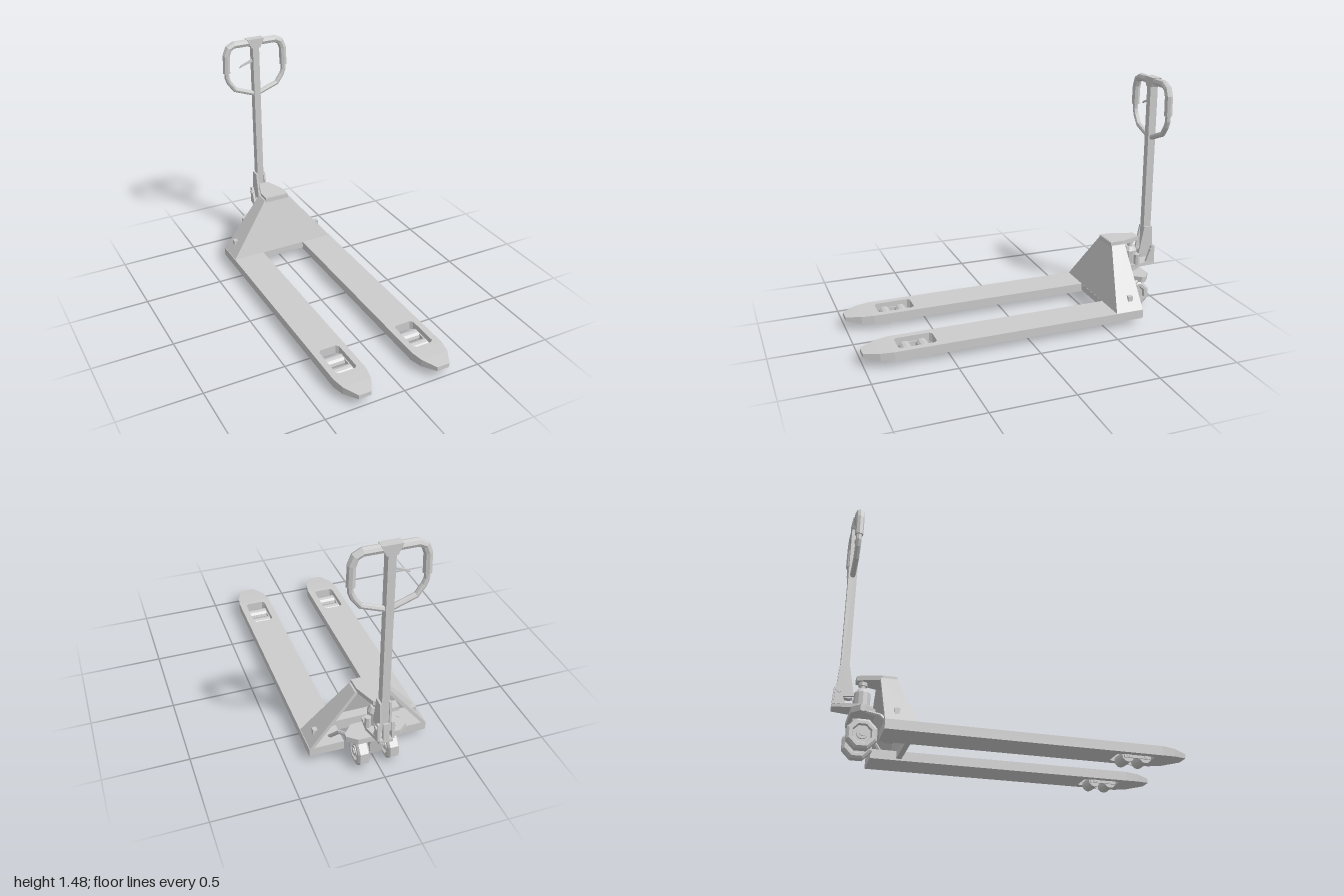
import * as THREE from 'three';
import { ConvexGeometry } from 'three/addons/geometries/ConvexGeometry.js';

const material = new THREE.MeshStandardMaterial({ color: 0xcccccc, flatShading: true, side: THREE.DoubleSide });
const V = (x, y, z) => new THREE.Vector3(x, y, z);

// Polyline path whose samples fall exactly on its corners
class Polyline extends THREE.Curve {
  constructor(pts) { super(); this.pts = pts; }
  getPointAt(u) { return this.pts[Math.round(u * (this.pts.length - 1))].clone(); }
  getTangentAt(u) {
    const n = this.pts.length - 1, i = Math.round(u * n);
    return this.pts[Math.min(i + 1, n)].clone().sub(this.pts[Math.max(i - 1, 0)]).normalize();
  }
}

export function createModel() {
  const root = new THREE.Group();
  const add = (name, geometry, x = 0, y = 0, z = 0, parent = root) => {
    const m = new THREE.Mesh(geometry, material);
    m.name = name;
    m.position.set(x, y, z);
    parent.add(m);
    return m;
  };
  // Box given by its limits on each axis
  const box = (name, x0, x1, y0, y1, z0, z1) =>
    add(name, new THREE.BoxGeometry(x1 - x0, y1 - y0, z1 - z0), (x0 + x1) / 2, (y0 + y1) / 2, (z0 + z1) / 2);
  const hull = (name, pts) => add(name, new ConvexGeometry(pts.map(p => V(...p))));
  const post = (name, r0, r1, y0, y1, x, z, n = 10) =>
    add(name, new THREE.CylinderGeometry(r1, r0, y1 - y0, n), x, (y0 + y1) / 2, z);
  const axle = (name, r, length, x, y, z, n = 10) =>
    add(name, new THREE.CylinderGeometry(r, r, length, n).rotateZ(Math.PI / 2), x, y, z);
  const rod = (name, a, b, r, n = 8) => {
    const m = add(name, new THREE.CylinderGeometry(r, r, a.distanceTo(b), n));
    m.position.copy(a).add(b).multiplyScalar(0.5);
    m.quaternion.setFromUnitVectors(V(0, 1, 0), b.clone().sub(a).normalize());
    return m;
  };
  const tube = (name, pts, r) => add(name, new THREE.TubeGeometry(new Polyline(pts), pts.length - 1, r, 8));
  // Plan (x, z) extruded upward between two heights
  const slab = (name, pts, y0, y1, hole) => {
    const shape = new THREE.Shape(pts.map(p => new THREE.Vector2(...p)));
    if (hole) shape.holes.push(new THREE.Path(hole.map(p => new THREE.Vector2(...p))));
    const g = new THREE.ExtrudeGeometry(shape, { depth: y1 - y0, bevelEnabled: false });
    return add(name, g.rotateX(Math.PI / 2), 0, y1, 0);
  };

  for (const s of [-1, 1]) {
    // Fork with a roller window and a tapered tip
    slab('fork', [[s * 0.15, -0.745], [s * 0.36, -0.745], [s * 0.36, 0.83], [s * 0.15, 0.83]], 0.05, 0.105,
      [[0.19, 0.585], [0.205, 0.57], [0.305, 0.57], [0.32, 0.585], [0.32, 0.785], [0.305, 0.8], [0.205, 0.8], [0.19, 0.785]]
        .map(([x, z]) => [s * x, z]));
    const rings = [[0.83, 0.15, 0.36, 0.05, 0.105], [0.91, 0.166, 0.344, 0.056, 0.102], [1, 0.215, 0.295, 0.068, 0.094]];
    hull('forkTip', rings.flatMap(([z, a, b, y0, y1]) =>
      [[s * a, y0, z], [s * b, y0, z], [s * a, y1, z], [s * b, y1, z]]));

    // Tandem load rollers and their carrier
    for (const z of [0.635, 0.738]) {
      axle('loadRoller', 0.036, 0.115, s * 0.255, 0.047, z, 12);
      axle('loadRollerAxle', 0.012, 0.14, s * 0.255, 0.047, z, 8);
    }
    for (const x of [0.193, 0.317]) box('rollerCarrier', s * x - 0.004, s * x + 0.004, 0.033, 0.07, 0.61, 0.765);

    // Sloping side plate of the chassis
    const side = [];
    for (const d of [0, 0.025]) side.push(
      [s * (0.36 - d), 0.1, -0.745], [s * (0.36 - d), 0.1, -0.567],
      [s * (0.09 - d), 0.445, -0.745], [s * (0.09 - d), 0.445, -0.655]);
    hull('chassisSide', side);
    box('sideBolt', s * 0.305 - 0.014, s * 0.305 + 0.014, 0.155, 0.187, -0.692, -0.662);

    // Steering wheel with hub rings
    const x = s * 0.09;
    const profile = [[0.05, -0.02], [0.058, -0.034], [0.076, -0.034], [0.09, -0.024],
      [0.09, 0.024], [0.076, 0.034], [0.058, 0.034], [0.05, 0.02]].map(p => new THREE.Vector2(...p));
    add('steerTyre', new THREE.LatheGeometry(profile, 8).rotateX(0).rotateZ(Math.PI / 2).rotateX(Math.PI / 8), x, 0.098, -0.83);
    axle('steerWheelDisc', 0.054, 0.042, x, 0.098, -0.83, 8);
    axle('steerHub', 0.032, 0.066, x, 0.098, -0.83, 12);
    axle('axleNut', 0.018, 0.08, x, 0.098, -0.83, 8);

    // Lift linkage between pump yoke and forks
    rod('liftLink', V(s * 0.13, 0.225, -0.86), V(s * 0.18, 0.185, -0.745), 0.012, 6);
    rod('liftLinkFoot', V(s * 0.145, 0.215, -0.84), V(s * 0.18, 0.215, -0.84), 0.014, 6);
    rod('pushRod', V(s * 0.18, 0.185, -0.745), V(s * 0.22, 0.085, -0.66), 0.012, 6);
  }

  // Chassis front plate, lower beam and inner brace
  hull('chassisFront', [0, -0.02].flatMap(d => [-1, 1].flatMap(s =>
    [[s * 0.36, 0.1, -0.565 + d], [s * 0.09, 0.445, -0.653 + d]])));
  box('crossBeam', -0.155, 0.155, 0.06, 0.105, -0.595, -0.565);
  box('innerBrace', -0.22, 0.22, 0.17, 0.2, -0.67, -0.61);

  // Cap over the pump
  const capPlan = [[-0.08, -0.655], [0.08, -0.655], [0.08, -0.735], [0.033, -0.87], [-0.033, -0.87], [-0.08, -0.735]];
  slab('topCap', capPlan, 0.437, 0.465);
  box('topCapLip', -0.082, 0.082, 0.43, 0.463, -0.665, -0.65);

  // Hydraulic pump
  post('pumpRod', 0.016, 0.016, 0.38, 0.44, 0, -0.83, 10);
  post('pumpRodHead', 0.026, 0.026, 0.415, 0.438, 0, -0.83, 10);
  post('pumpShoulder', 0.047, 0.03, 0.37, 0.395, 0, -0.83, 12);
  post('pumpBody', 0.047, 0.047, 0.285, 0.37, 0, -0.83, 12);
  post('pumpValve', 0.02, 0.02, 0.28, 0.35, 0.055, -0.855, 8);
  slab('pumpBase', [[-0.06, -0.775], [0.06, -0.775], [0.07, -0.86], [0.04, -0.995], [-0.04, -0.995], [-0.07, -0.86]], 0.263, 0.285);

  // Steering yoke, turntable and axle
  post('turntable', 0.06, 0.06, 0.238, 0.265, 0, -0.83, 12);
  slab('liftYoke', [[-0.12, -0.765], [0.12, -0.765], [0.18, -0.83], [0.18, -0.855], [0.125, -0.9],
    [-0.125, -0.9], [-0.18, -0.855], [-0.18, -0.83]], 0.205, 0.24);
  hull('yokeFork', [-1, 1].flatMap(s => [-1, 1].flatMap(t =>
    [[s * 0.045, 0.21, -0.83 + t * 0.05], [s * 0.035, 0.07, -0.83 + t * 0.025]])));
  axle('steerAxle', 0.014, 0.25, 0, 0.098, -0.83, 8);

  // Tiller pivot: cheeks, pin and release pedal
  for (const s of [-1, 1]) {
    hull('pivotCheek', [0.022, 0.034].flatMap(x => [[0.34, -0.88], [0.52, -0.914], [0.52, -0.97], [0.33, -0.98]]
      .map(([y, z]) => [s * x, y, z])));
    hull('pivotLug', [0.034, 0.05].flatMap(x => [[0.28, -0.925], [0.28, -0.99], [0.39, -0.965], [0.39, -0.985]]
      .map(([y, z]) => [s * x, y, z])));
  }
  axle('pivotPin', 0.014, 0.115, 0, 0.36, -0.965, 8);
  axle('pumpRoller', 0.022, 0.04, 0, 0.35, -0.905, 10);
  hull('releasePedal', [-0.018, 0.018].flatMap(x => [[x, 0.27, -0.97], [x, 0.27, -0.998], [x, 0.39, -0.978], [x, 0.39, -0.99]]));

  // Tiller shaft and grip loop
  const hz = -0.94;
  box('tillerShaft', -0.022, 0.022, 0.33, 1.47, hz - 0.025, hz + 0.025);
  hull('gripBracket', [-0.027, 0.027].flatMap(d => [[-0.058, 1.49], [0.058, 1.49], [0.048, 1.465], [0.03, 1.43], [-0.03, 1.43], [-0.048, 1.465]]
    .map(([x, y]) => [x, y, hz + d])));
  for (const s of [-1, 1]) {
    const path = pts => pts.map(([x, y]) => V(s * x, y, hz));
    tube('grip', path([[0.03, 1.465], [0.145, 1.465], [0.182, 1.446], [0.2, 1.4], [0.203, 1.29]]), 0.025);
    post('gripEnd', 0.025, 0.025, 1.283, 1.293, s * 0.203, hz, 8);
    tube('handleLoop', path([[0.203, 1.32], [0.203, 1.25], [0.19, 1.215], [0.15, 1.16], [0, 1.105]]), 0.017);
  }

  // Release lever beside the shaft
  hull('leverArm', [-0.006, 0.006].flatMap(d => [[-0.015, 1.352], [-0.015, 1.333], [-0.07, 1.318], [-0.065, 1.333]]
    .map(([x, y]) => [x, y, hz + d])));
  hull('leverTip', [-0.006, 0.006].flatMap(d => [[-0.065, 1.333], [-0.07, 1.318], [-0.112, 1.303], [-0.1, 1.318]]
    .map(([x, y]) => [x, y, hz + d])));

  return root;
}
